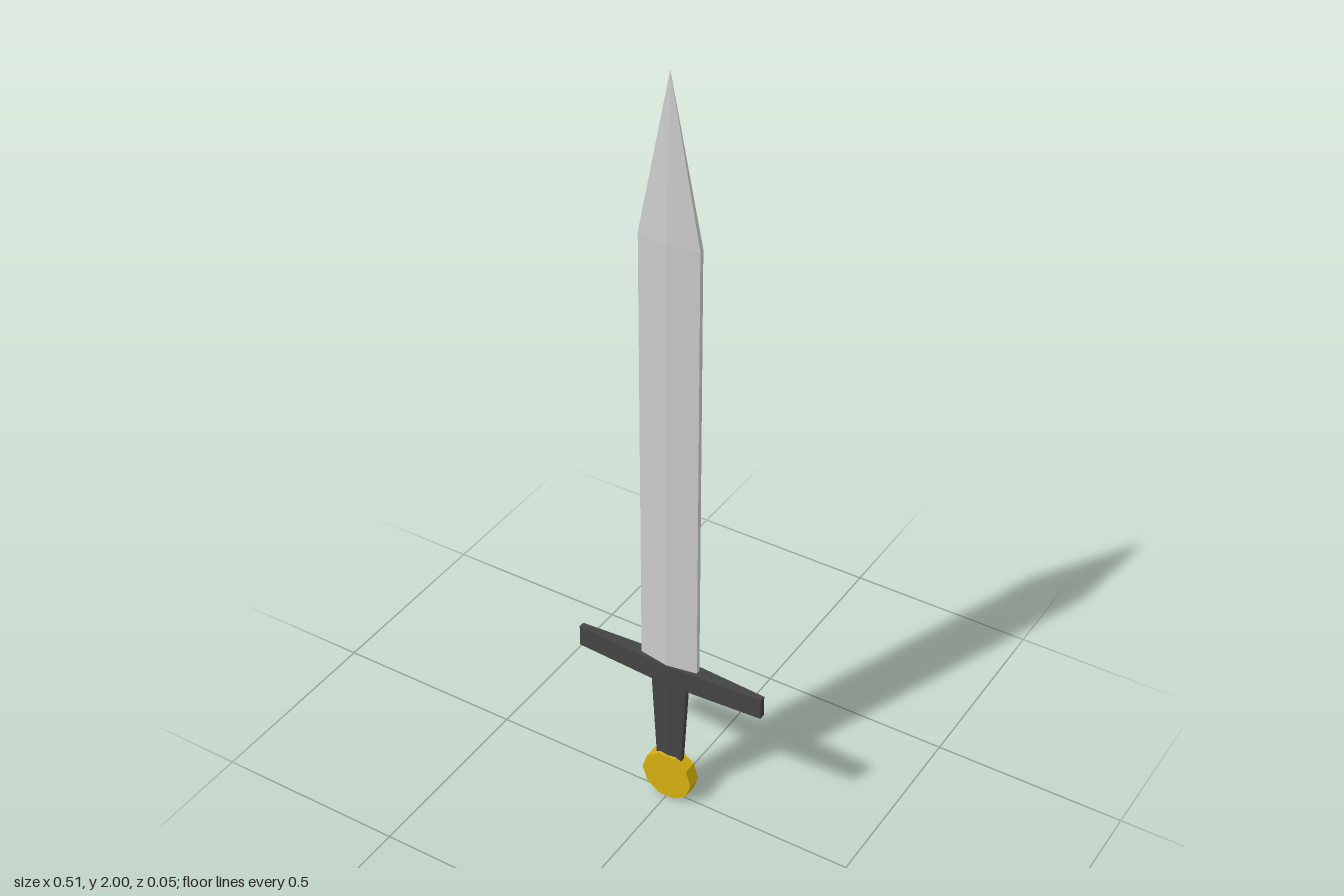
import * as THREE from 'three';
import { ConvexGeometry } from 'three/addons/geometries/ConvexGeometry.js';

const steel = new THREE.MeshStandardMaterial({ color: 0xcccccc, flatShading: true });
const dark = new THREE.MeshStandardMaterial({ color: 0x444444, flatShading: true });
const gold = new THREE.MeshStandardMaterial({ color: 0xd6b00e, flatShading: true });

// Flattened hexagon at height y: half width, half depth at the edges and at the ridge
function hexSection([y, width, edge, ridge]) {
  return [
    [width, edge], [0, ridge], [-width, edge],
    [-width, -edge], [0, -ridge], [width, -edge],
  ].map(([x, z]) => new THREE.Vector3(x, y, z));
}

// Solid spanning a stack of hexagonal sections, optionally closing to a tip
function hexSolid(name, sections, material, tipY) {
  const points = sections.flatMap(hexSection);
  if (tipY !== undefined) points.push(new THREE.Vector3(0, tipY, 0));
  const mesh = new THREE.Mesh(new ConvexGeometry(points), material);
  mesh.name = name;
  return mesh;
}

export function createModel() {
  const sword = new THREE.Group();
  sword.name = 'sword';

  // Straight ridged blade tapering to a point
  sword.add(hexSolid('blade', [[0.42, 0.078, 0.006, 0.019], [1.6, 0.078, 0.006, 0.019]], steel, 2));

  // Crossguard, thickest in the middle
  sword.add(hexSolid('crossguard', [[0.372, 0.256, 0.008, 0.023], [0.43, 0.256, 0.008, 0.023]], dark));

  // Grip, widening towards the guard
  sword.add(hexSolid('grip', [[0.1, 0.034, 0.007, 0.013], [0.38, 0.05, 0.007, 0.013]], dark));

  // Ten-sided disc pommel facing front, flat side up
  const disc = new THREE.CylinderGeometry(0.07, 0.07, 0.037, 10);
  disc.rotateX(Math.PI / 2).rotateZ(Math.PI / 10);
  const pommel = new THREE.Mesh(disc, gold);
  pommel.name = 'pommel';
  pommel.position.y = 0.0666;
  sword.add(pommel);

  return sword;
}
